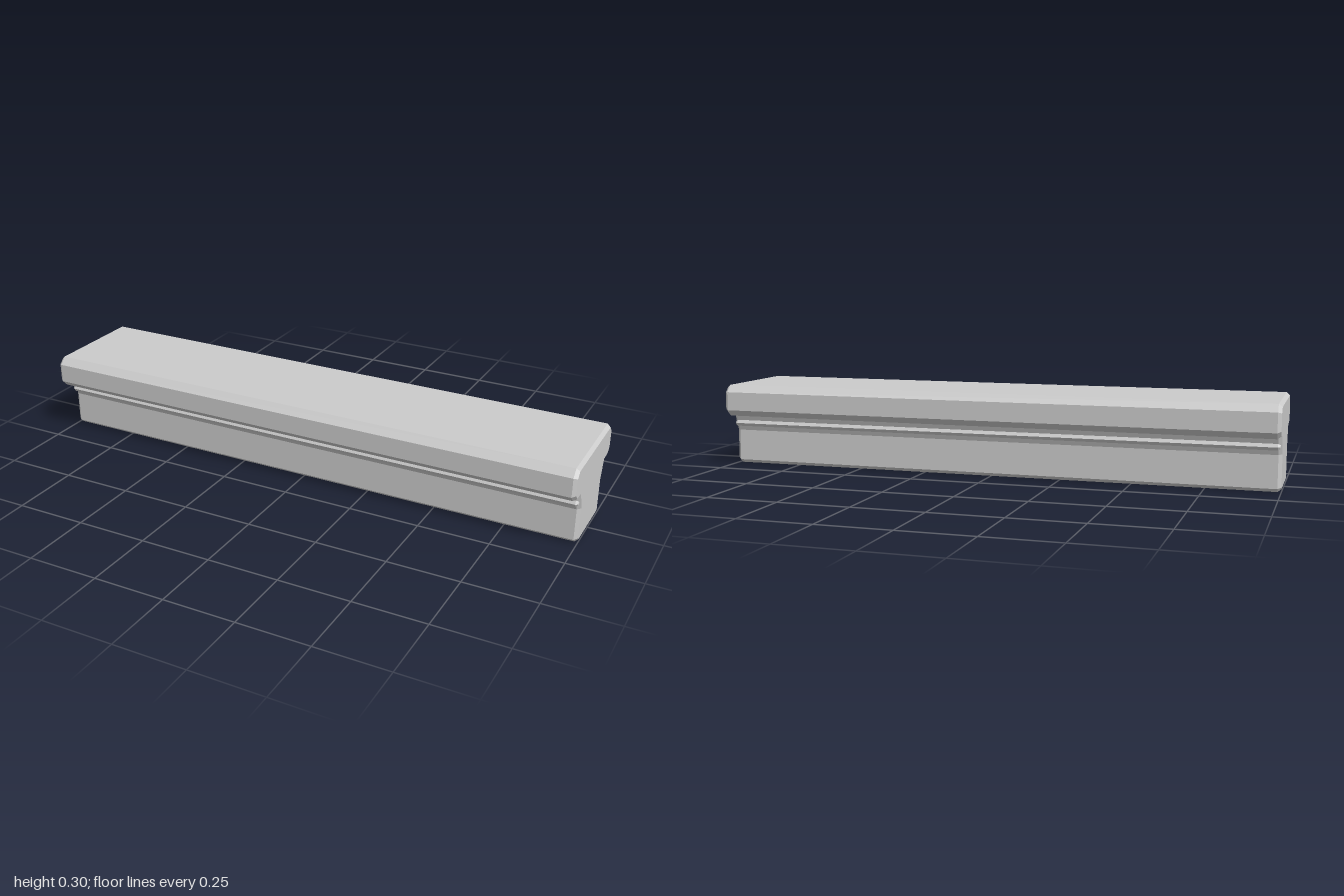
import * as THREE from 'three';

const material = new THREE.MeshStandardMaterial({ color: 0xcccccc, flatShading: true });

// Extrudes a (z, y) outline along x, chamfering both ends inside the outline.
function bar(name, points, length, chamfer, inset) {
  const geometry = new THREE.ExtrudeGeometry(new THREE.Shape(points), {
    depth: length - 2 * chamfer,
    bevelEnabled: true,
    bevelThickness: chamfer,
    bevelSize: inset,
    bevelOffset: -inset,
    bevelSegments: 1,
  });
  geometry.translate(0, 0, -(length / 2 - chamfer));
  geometry.rotateY(Math.PI / 2);
  const mesh = new THREE.Mesh(geometry, material);
  mesh.name = name;
  return mesh;
}

export function createModel() {
  const group = new THREE.Group();
  group.name = 'mouldedBeam';

  // T-shaped beam: half outline from the bottom up, mirrored for the other side
  const half = [
    [0.108, 0], [0.121, 0.012], [0.121, 0.125], [0.143, 0.183],
    [0.184, 0.186], [0.206, 0.208], [0.206, 0.275], [0.182, 0.3],
  ];
  const outline = [
    ...half.map(([z, y]) => new THREE.Vector2(z, y)),
    ...half.slice().reverse().map(([z, y]) => new THREE.Vector2(-z, y)),
  ];
  group.add(bar('beam', outline, 2, 0.012, 0.01));

  // Thin bead running along the neck on each side
  for (const side of [1, -1]) {
    const bead = [];
    for (let i = 0; i < 6; i++) {
      const a = (i / 6) * Math.PI * 2;
      bead.push(new THREE.Vector2(0.0125 * Math.cos(a), 0.0125 * Math.sin(a)));
    }
    const mesh = bar(side > 0 ? 'frontBead' : 'backBead', bead, 1.99, 0.008, 0.005);
    mesh.position.set(0, 0.153, side * 0.132);
    group.add(mesh);
  }

  return group;
}
